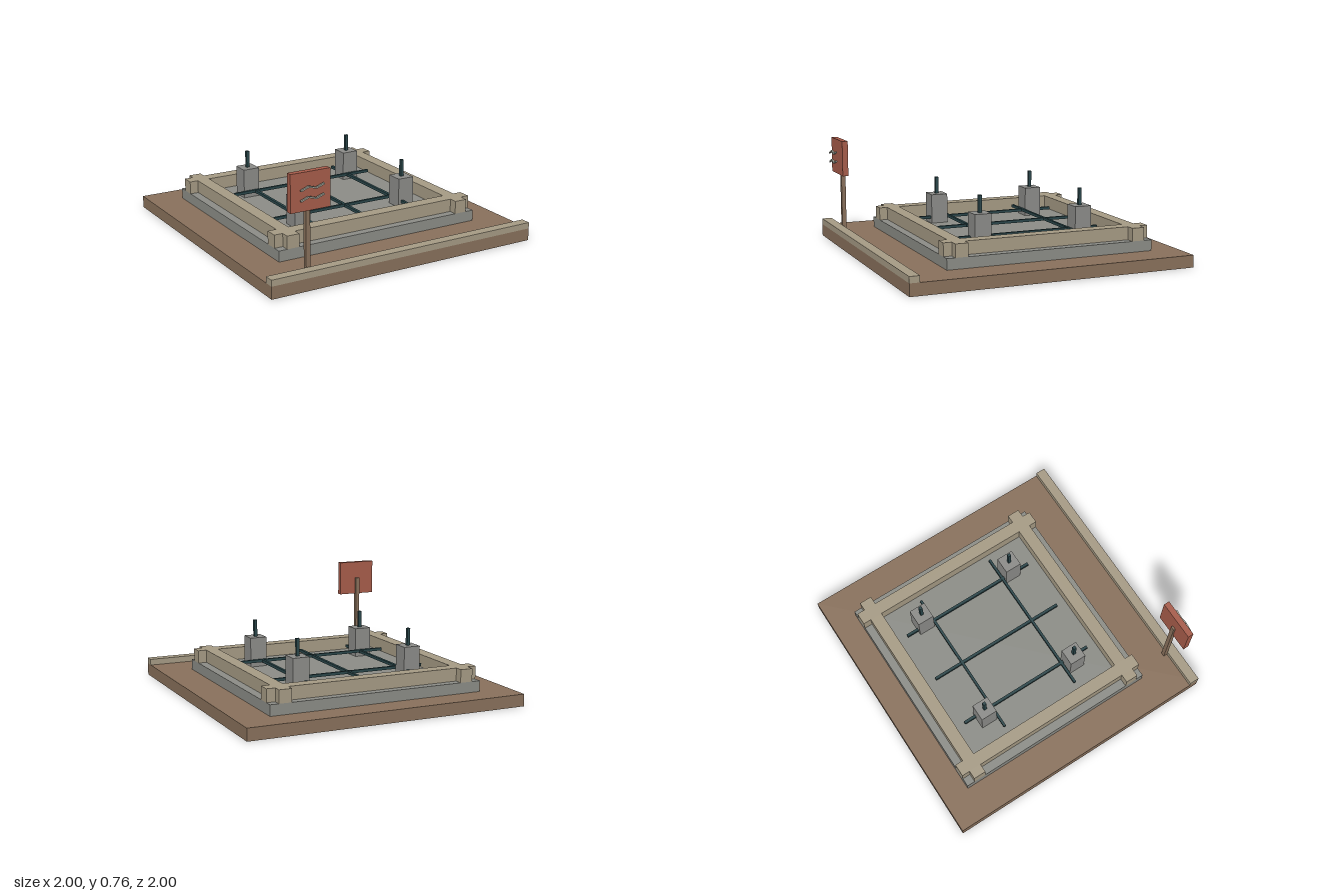
import * as THREE from 'three';

const mat = (name, color) => {
  const m = new THREE.MeshStandardMaterial({ color });
  m.name = name;
  return m;
};

export function createModel() {
  const earth = mat('earth brown', 0x88705b);
  const timber = mat('pale timber', 0xa59a84);
  const slabGrey = mat('slab grey', 0x8b8c86);
  const blockGrey = mat('concrete grey', 0x8b8b88);
  const steel = mat('dark steel', 0x294549);
  const red = mat('sign red', 0xa65c4a);
  const pale = mat('sign mark grey', 0xa3a498);

  const model = new THREE.Group();
  model.name = 'foundationSite';

  // Box given by its limits along each axis
  const box = (name, material, [x0, x1], [y0, y1], [z0, z1], parent = model) => {
    const mesh = new THREE.Mesh(new THREE.BoxGeometry(x1 - x0, y1 - y0, z1 - z0), material);
    mesh.position.set((x0 + x1) / 2, (y0 + y1) / 2, (z0 + z1) / 2);
    mesh.name = name;
    parent.add(mesh);
    return mesh;
  };
  const around = (c, size) => [c - size / 2, c + size / 2];
  const group = (name) => {
    const g = new THREE.Group();
    g.name = name;
    model.add(g);
    return g;
  };

  // Ground, front kerb and foundation slab
  box('ground', earth, [-1, 1], [0, 0.085], [-1, 1]);
  box('frontKerb', timber, [-1, 1], [0.085, 0.128], [0.93, 1]);
  box('foundationSlab', slabGrey, [-0.768, 0.768], [0.085, 0.16], [-0.81, 0.67]);

  // Crossing formwork beams: full side beams, cross beams fitted between them, end stubs outside
  const formwork = group('formwork');
  const beamY = [0.16, 0.25];
  for (const s of [-1, 1]) {
    box('sideBeam', timber, around(s * 0.662, 0.09), beamY, [-0.81, 0.67], formwork);
    const z = around(-0.07 + s * 0.637, 0.09);
    box('crossBeam', timber, [-0.617, 0.617], beamY, z, formwork);
    for (const e of [-1, 1]) {
      box('beamEnd', timber, around(e * 0.7375, 0.061), beamY, z, formwork);
    }
  }

  // Reinforcement grid
  const grid = group('reinforcementGrid');
  for (const x of [-0.385, 0, 0.385]) {
    box('lengthBar', steel, around(x, 0.02), around(0.2, 0.02), [-0.59, 0.445], grid);
  }
  for (const z of [-0.367, 0.225]) {
    box('crossBar', steel, [-0.56, 0.56], around(0.203, 0.02), around(z, 0.018), grid);
  }

  // Footing blocks with starter bars
  for (const x of [-0.415, 0.415]) {
    for (const z of [-0.44, 0.3]) {
      const footing = group('footing');
      box('footingBlock', blockGrey, around(x, 0.12), [0.16, 0.368], around(z, 0.12), footing);
      box('starterBar', steel, around(x, 0.022), [0.368, 0.487], around(z, 0.022), footing);
    }
  }

  // Sign with post, board and two wavy marks
  const sign = group('sign');
  box('signPost', earth, around(-0.703, 0.03), [0.085, 0.635], [0.902, 0.932], sign);
  box('signBoard', red, [-0.84, -0.56], [0.51, 0.76], [0.917, 0.958], sign);
  const wave = [[-0.785, 0.654], [-0.73, 0.675], [-0.676, 0.659], [-0.62, 0.679]];
  for (const drop of [0, 0.066]) {
    for (let i = 0; i < 3; i++) {
      const [ax, ay] = wave[i], [bx, by] = wave[i + 1];
      const mark = new THREE.Mesh(new THREE.BoxGeometry(Math.hypot(bx - ax, by - ay), 0.01, 0.014), pale);
      mark.position.set((ax + bx) / 2, (ay + by) / 2 - drop, 0.987);
      mark.rotation.z = Math.atan2(by - ay, bx - ax);
      mark.name = 'waveMark';
      sign.add(mark);
    }
  }

  return model;
}
